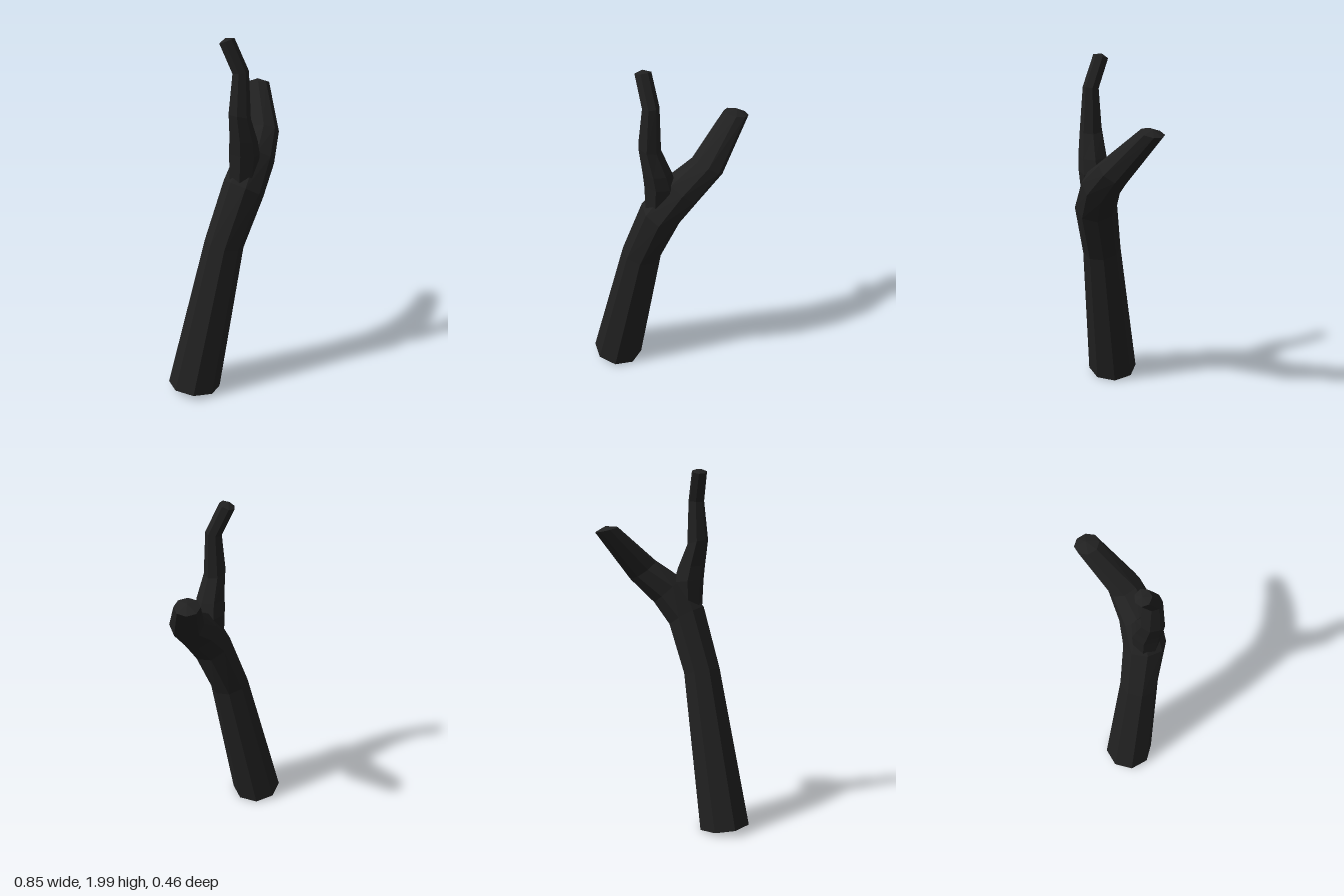
import * as THREE from 'three';

const UP = new THREE.Vector3(0, 1, 0);

// Lofts a closed faceted limb through rings [x, y, z, radius, normal?];
// tipRise lifts the middle of the end cap.
function limb(name, rings, sides, phase, tipRise, material) {
  const centres = rings.map(r => new THREE.Vector3(r[0], r[1], r[2]));
  const last = rings.length - 1;
  const pos = [], index = [];
  let endNormal;
  rings.forEach((r, i) => {
    const n = r[4] ? new THREE.Vector3(...r[4])
      : centres[Math.min(i + 1, last)].clone().sub(centres[Math.max(i - 1, 0)]);
    n.normalize();
    endNormal = n;
    const tilt = new THREE.Quaternion().setFromUnitVectors(UP, n);
    for (let k = 0; k < sides; k++) {
      const a = phase + (k / sides) * Math.PI * 2;
      const p = new THREE.Vector3(Math.cos(a), 0, -Math.sin(a))
        .multiplyScalar(r[3]).applyQuaternion(tilt).add(centres[i]);
      pos.push(p.x, p.y, p.z);
    }
  });
  const bottom = pos.length / 3, top = bottom + 1;
  const tip = centres[last].clone().addScaledVector(endNormal, tipRise);
  pos.push(...centres[0].toArray(), ...tip.toArray());
  for (let k = 0; k < sides; k++) {
    const m = (k + 1) % sides;
    for (let i = 0; i < last; i++) {
      const a = i * sides + k, b = i * sides + m;
      index.push(a, b, b + sides, a, b + sides, a + sides);
    }
    index.push(bottom, m, k, top, last * sides + k, last * sides + m);
  }
  const indexed = new THREE.BufferGeometry();
  indexed.setAttribute('position', new THREE.Float32BufferAttribute(pos, 3));
  indexed.setIndex(index);
  const geometry = indexed.toNonIndexed();
  geometry.computeVertexNormals();
  const mesh = new THREE.Mesh(geometry, material);
  mesh.name = name;
  return mesh;
}

export function createModel() {
  const bark = new THREE.MeshStandardMaterial({ color: 0x212121, flatShading: true });
  bark.name = 'charred bark';
  const group = new THREE.Group();
  group.name = 'forkedBranch';

  // Trunk bending over into the thick side branch
  group.add(limb('trunkAndBranch', [
    [-0.28, 0.022, 0.033, 0.147, [0.14, 1, 0]],
    [-0.102, 0.88, 0.093, 0.108, [0.22, 1, 0.1]],
    [0.01, 1.18, 0.122, 0.116, [0.6, 1, -0.02]],
    [0.117, 1.325, 0.092, 0.108, [0.62, 0.8, -0.32]],
    [0.237, 1.44, 0.02, 0.09, [0.45, 0.9, -0.45]],
    [0.358, 1.665, -0.16, 0.065, [0.15, 1, -0.18]],
  ], 8, 0.09, 0.02, bark));

  // Thin upright twig growing out of the fork
  group.add(limb('twig', [
    [-0.005, 1.18, 0.125, 0.07],
    [0.003, 1.38, 0.128, 0.086, [0.1, 1, 0]],
    [-0.01, 1.46, 0.137, 0.078, [0.1, 1, 0]],
    [-0.044, 1.595, 0.145, 0.061, [0.25, 1, 0]],
    [-0.036, 1.82, 0.143, 0.044, [-0.1, 1, -0.12]],
    [-0.082, 1.975, 0.09, 0.042, [-0.2, 1, -0.3]],
  ], 7, 0.2, 0.015, bark));

  return group;
}
